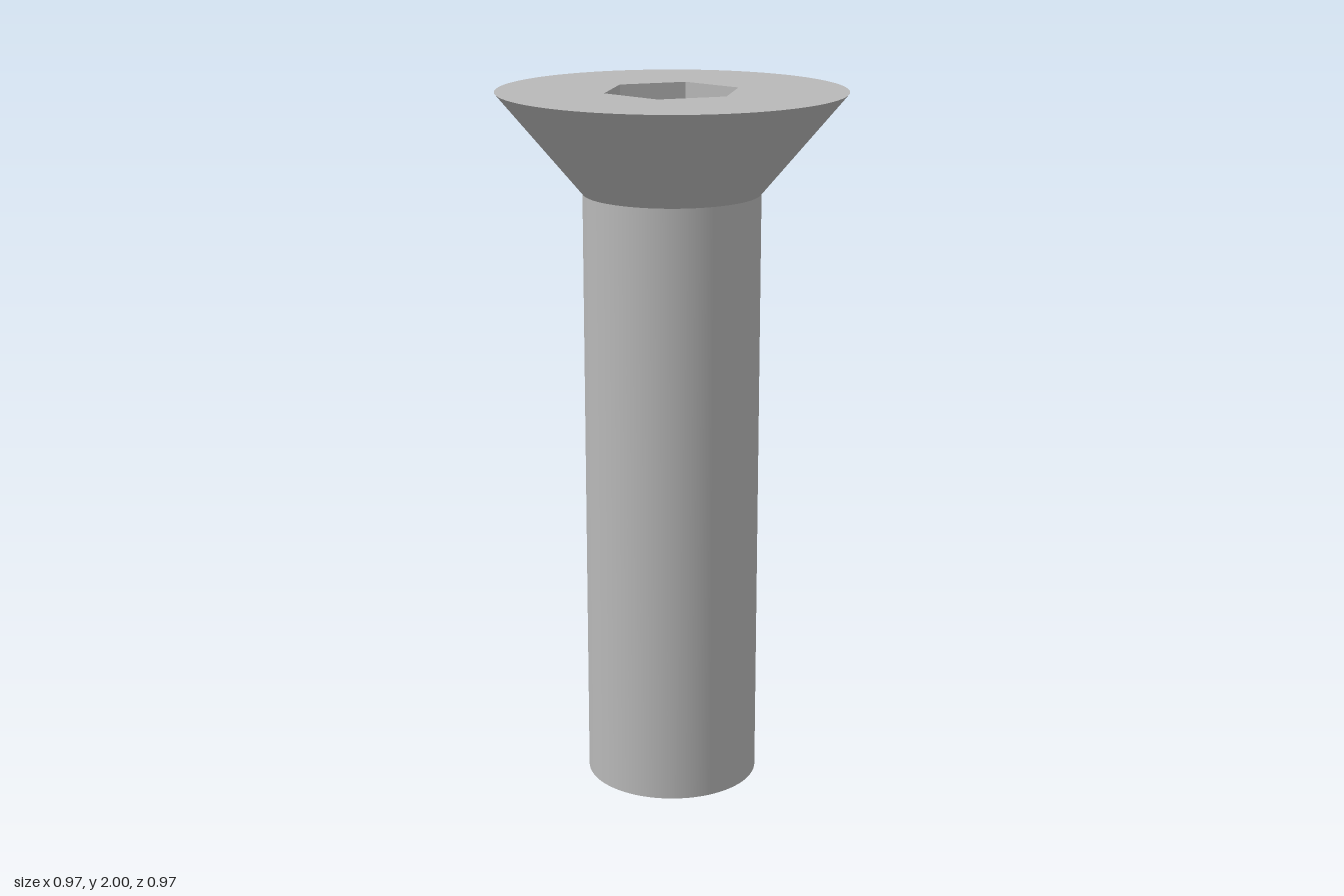
import * as THREE from 'three';

const SEGMENTS = 96;
const SHANK_R = 0.247, HEAD_R = 0.483, SOCKET_R = 0.193;
const HEAD_Y = 1.72, TOP_Y = 2, SOCKET_DEPTH = 0.08;

export function createModel() {
  const group = new THREE.Group();
  const steel = new THREE.MeshStandardMaterial({ color: 0xb8b8b8 });
  steel.name = 'steel grey';

  const add = (name, geometry, y) => {
    const mesh = new THREE.Mesh(geometry, steel);
    mesh.name = name;
    mesh.position.y = y;
    group.add(mesh);
  };

  // Plain round shank
  add('shank', new THREE.CylinderGeometry(SHANK_R, SHANK_R, HEAD_Y, SEGMENTS), HEAD_Y / 2);

  // Countersunk cone under the head
  const headHeight = TOP_Y - HEAD_Y;
  add('headCone', new THREE.CylinderGeometry(HEAD_R, SHANK_R, headHeight, SEGMENTS, 1, true), HEAD_Y + headHeight / 2);

  // Flat head face with a hexagonal opening
  const face = new THREE.Shape().absarc(0, 0, HEAD_R, 0, Math.PI * 2);
  const corners = Array.from({ length: 6 }, (_, i) => {
    const a = -i * Math.PI / 3;
    return new THREE.Vector2(Math.cos(a) * SOCKET_R, Math.sin(a) * SOCKET_R);
  });
  face.holes.push(new THREE.Path(corners));
  add('headFace', new THREE.ShapeGeometry(face, SEGMENTS).rotateX(-Math.PI / 2), TOP_Y);

  // Socket walls, turned to face inward with flat sides
  const tube = new THREE.CylinderGeometry(SOCKET_R, SOCKET_R, SOCKET_DEPTH, 6, 1, true, Math.PI / 2);
  tube.index.array.reverse();
  const walls = tube.toNonIndexed();
  walls.computeVertexNormals();
  add('socketWalls', walls, TOP_Y - SOCKET_DEPTH / 2);

  // Socket floor
  add('socketFloor', new THREE.CircleGeometry(SOCKET_R, 6).rotateX(-Math.PI / 2), TOP_Y - SOCKET_DEPTH);

  return group;
}
